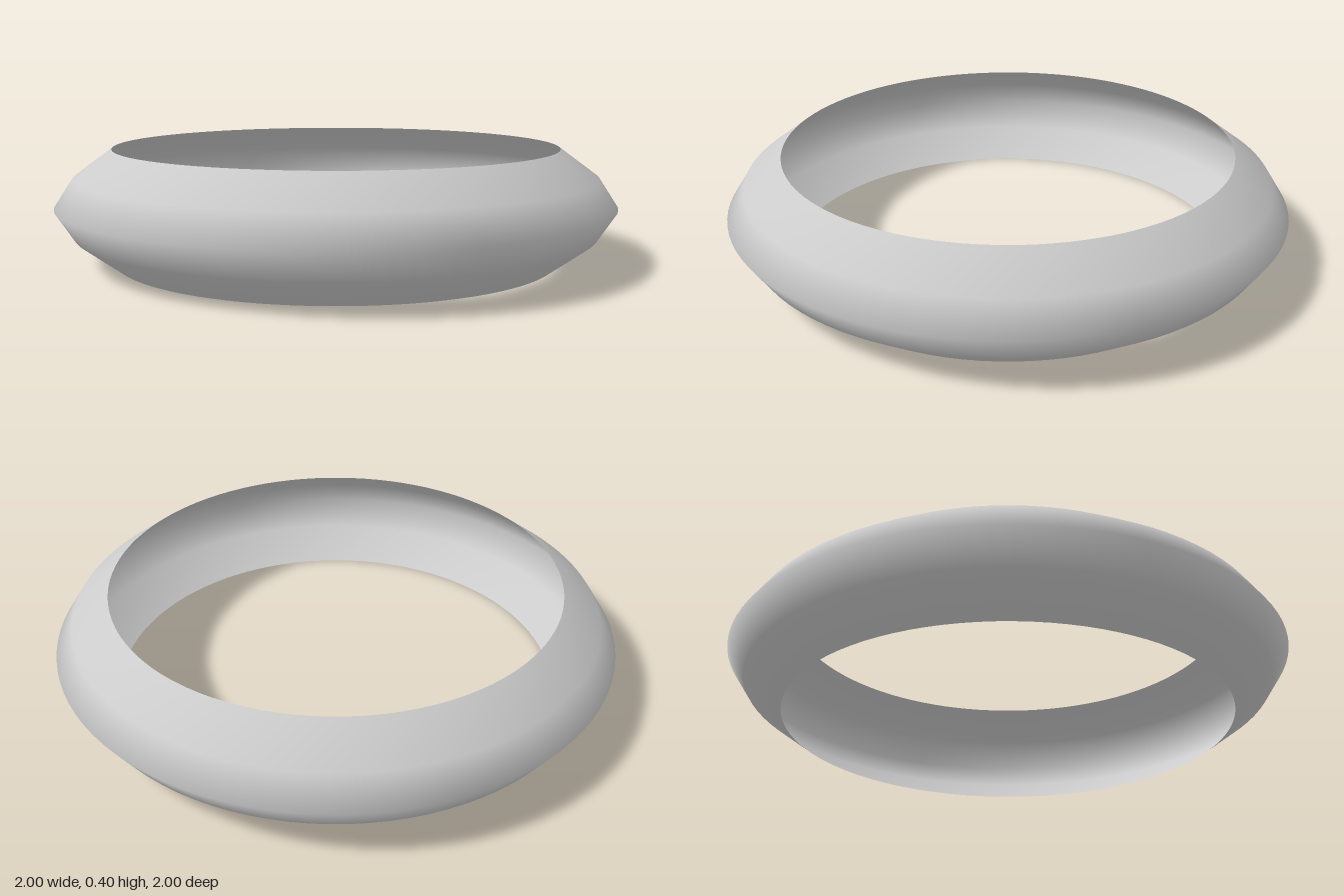
import * as THREE from 'three';

export function createModel() {
  const model = new THREE.Group();
  model.name = 'ring';

  // Open band: faceted profile from the bottom rim over the widest point to the top rim
  const profile = [
    [0.8, 0], [0.935, 0.1], [1, 0.2], [0.935, 0.3], [0.8, 0.4],
  ].map(([r, y]) => new THREE.Vector2(r, y));

  // The thin shell is seen from inside through the hole
  const material = new THREE.MeshStandardMaterial({ color: 0xcccccc, side: THREE.DoubleSide });
  const band = new THREE.Mesh(new THREE.LatheGeometry(profile, 96), material);
  band.name = 'ringBand';
  model.add(band);

  return model;
}
